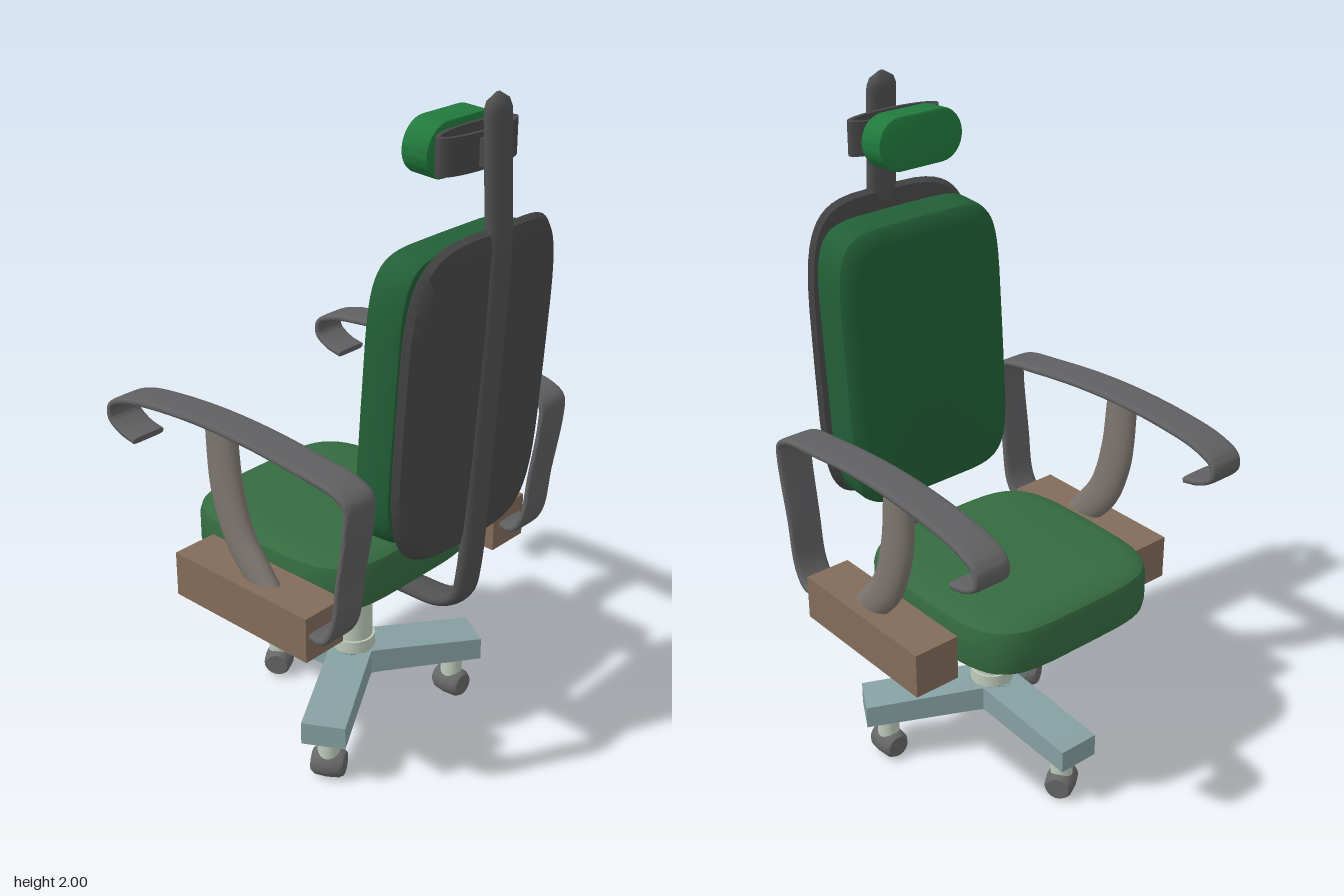
import * as THREE from 'three';
import { toCreasedNormals } from 'three/addons/utils/BufferGeometryUtils.js';

const mat = (color) => new THREE.MeshStandardMaterial({ color });
const seatGreen = mat(0x356b40), backGreen = mat(0x225f36), headGreen = mat(0x217a3d);
const darkGrey = mat(0x484848), postGrey = mat(0x505050), armGrey = mat(0x606062);
const supportGrey = mat(0x7d7670), brown = mat(0x826c5a), legBlue = mat(0x86a0a2);
const columnPale = mat(0xbfccbd), wheelGrey = mat(0x666666);

const V = (x, y, z) => new THREE.Vector3(x, y, z);

function add(parent, name, geometry, material, x = 0, y = 0, z = 0) {
  const mesh = new THREE.Mesh(geometry, material);
  mesh.name = name;
  mesh.position.set(x, y, z);
  parent.add(mesh);
  return mesh;
}

// Closed skin over a list of equal-length rings, capped at both ends
function loft(rings, crease = 0.6) {
  const n = rings[0].length, tris = [];
  for (let i = 0; i < rings.length - 1; i++) {
    for (let j = 0; j < n; j++) {
      const k = (j + 1) % n, a = rings[i], b = rings[i + 1];
      tris.push([a[j], a[k], b[k]], [a[j], b[k], b[j]]);
    }
  }
  const cap = (ring, flip) => {
    const c = ring.reduce((s, p) => s.add(p), V(0, 0, 0)).divideScalar(n);
    ring.forEach((p, j) => {
      const q = ring[(j + 1) % n];
      tris.push(flip ? [c, q, p] : [c, p, q]);
    });
  };
  cap(rings[0], true);
  cap(rings[rings.length - 1], false);
  // Signed volume decides which way the faces must turn
  const volume = tris.reduce((s, [a, b, c]) => s + a.dot(b.clone().cross(c)), 0);
  const points = tris.flatMap(([a, b, c]) => (volume < 0 ? [a, c, b] : [a, b, c]));
  return toCreasedNormals(new THREE.BufferGeometry().setFromPoints(points), crease);
}

// Superellipse point for angle t
function superPoint(t, a, b, power) {
  const f = (v) => Math.sign(v) * Math.pow(Math.abs(v), 2 / power);
  return [a * f(Math.cos(t)), b * f(Math.sin(t))];
}

// Rounded-rectangle pad from [inset, depth] layers; place maps (u, v, depth) to space
function pad(a, b, power, layers, place, n = 56) {
  return loft(layers.map(([inset, d]) => Array.from({ length: n }, (_, j) => {
    const [u, v] = superPoint((j / n) * Math.PI * 2, a - inset, b - inset, power);
    return place(u, v, d);
  })));
}

// Flattened bar swept along [x, y, z, halfWidth, halfThickness] stations
function sweep(stations, { power = 2, round = false, steps = 60, n = 20 } = {}) {
  const path = new THREE.CatmullRomCurve3(stations.map((s) => V(s[0], s[1], s[2])), false, 'centripetal');
  const rings = [];
  for (let i = 0; i <= steps; i++) {
    const t = i / steps, f = t * (stations.length - 1);
    const k = Math.min(Math.floor(f), stations.length - 2);
    const mix = (c) => THREE.MathUtils.lerp(stations[k][c], stations[k + 1][c], f - k);
    const p = path.getPoint(t), d = path.getTangent(t);
    const normal = V(0, d.z, -d.y).normalize();
    // Dome the far end
    const left = path.getPoint(1).distanceTo(p);
    const s = round && left < 0.045 ? Math.sqrt(Math.max(0.02, 1 - (1 - left / 0.045) ** 2)) : 1;
    rings.push(Array.from({ length: n }, (_, j) => {
      const [u, v] = superPoint((j / n) * Math.PI * 2, mix(3) * s, mix(4) * s, power);
      return p.clone().addScaledVector(normal, v).add(V(u, 0, 0));
    }));
  }
  return loft(rings, 0.8);
}

function buildBase() {
  const base = new THREE.Group();
  base.name = 'base';
  // Three sloping legs at 120 degrees, each with a swivelling caster
  const yaws = [0.35, 0.5, -1.0];
  [Math.PI / 6, Math.PI * 5 / 6, Math.PI * 3 / 2].forEach((angle, i) => {
    const leg = new THREE.Group();
    leg.name = 'legWithCaster';
    leg.rotation.y = -angle;
    base.add(leg);
    const section = ([r, low, high]) => [[-1, low], [1, low], [1, high], [-1, high]]
      .map(([side, y]) => V(r, y, side * 0.064));
    add(leg, 'leg', loft([[-0.03, 0.17, 0.25], [0.06, 0.17, 0.247], [0.39, 0.15, 0.22]].map(section), 0.1), legBlue);
    add(leg, 'casterStem', new THREE.CylinderGeometry(0.033, 0.033, 0.1, 20), columnPale, 0.32, 0.115);
    const profile = [[0, -0.048], [0.034, -0.048], [0.042, -0.036], [0.045, 0], [0.042, 0.036], [0.034, 0.048], [0, 0.048]];
    const wheel = new THREE.LatheGeometry(profile.map(([r, y]) => new THREE.Vector2(r, y)), 24);
    wheel.rotateX(Math.PI / 2);
    const caster = add(leg, 'caster', toCreasedNormals(wheel, 0.6), wheelGrey, 0.32, 0.046);
    caster.rotation.y = angle + (i === 0 ? 0 : yaws[i]);
  });
  add(base, 'columnFoot', new THREE.CylinderGeometry(0.055, 0.055, 0.1, 28), columnPale, 0, 0.207);
  add(base, 'columnCollar', new THREE.CylinderGeometry(0.065, 0.065, 0.06, 28), columnPale, 0, 0.257);
  add(base, 'column', new THREE.CylinderGeometry(0.058, 0.058, 0.34, 28), columnPale, 0, 0.42);
  return base;
}

function buildArm(side) {
  const arm = new THREE.Group();
  arm.name = side > 0 ? 'leftArm' : 'rightArm';
  add(arm, 'armBracket', new THREE.BoxGeometry(0.141, 0.135, 0.507), brown, side * 0.398, 0.598, 0.009);
  // Flat band: up from the bracket, forward along the rest and curled under at the tip
  const band = [
    [0.61, 0.24], [0.603, 0.3], [0.65, 0.338], [0.8, 0.362], [0.98, 0.39], [1.035, 0.388], [1.06, 0.35],
    [1.08, 0.22], [1.098, 0.05], [1.104, -0.12], [1.095, -0.3], [1.075, -0.43], [1.045, -0.49],
    [1.005, -0.493], [0.975, -0.45], [0.962, -0.395],
  ].map(([y, z]) => [side * (0.411 - 0.018 * z), y, z, y < 0.9 && z > 0 ? 0.052 : 0.055, 0.01]);
  add(arm, 'armrestBand', sweep(band, { power: 5, steps: 90, n: 24 }), armGrey);
  // Curved upright between bracket and band
  const upright = [[0.62, 0.07, 0.05], [0.675, 0.025, 0.05], [0.765, -0.045, 0.055], [0.9, -0.09, 0.058], [1.095, -0.107, 0.053]]
    .map(([y, z, depth]) => [side * 0.405, y, z, 0.032, depth]);
  add(arm, 'armSupport', sweep(upright, { steps: 24 }), supportGrey);
  return arm;
}

function buildHeadrest() {
  const head = new THREE.Group();
  head.name = 'headrest';
  // Stadium-shaped pad, leaning slightly
  const shape = new THREE.Shape();
  shape.absarc(0.067, 0, 0.067, -Math.PI / 2, Math.PI / 2);
  shape.absarc(-0.067, 0, 0.067, Math.PI / 2, Math.PI * 1.5);
  const padGeo = new THREE.ExtrudeGeometry(shape, {
    depth: 0.07, bevelEnabled: true, bevelSize: 0.007, bevelThickness: 0.007, bevelSegments: 2, curveSegments: 16,
  });
  const cushion = add(head, 'headPad', toCreasedNormals(padGeo, 0.6), headGreen, 0.014, 1.853, 0.278);
  cushion.rotation.x = 0.06;
  // Open oval band joining the pad to the post
  const oval = new THREE.Shape().absellipse(0, 0, 0.152, 0.042, 0, Math.PI * 2);
  oval.holes.push(new THREE.Path().absellipse(0, 0, 0.135, 0.03, 0, Math.PI * 2));
  const ring = new THREE.ExtrudeGeometry(oval, { depth: 0.095, bevelEnabled: false, curveSegments: 28 });
  ring.rotateX(-Math.PI / 2);
  add(head, 'headrestBand', toCreasedNormals(ring, 0.6), darkGrey, 0.012, 1.808, 0.397);
  add(head, 'headrestJoint', new THREE.BoxGeometry(0.06, 0.07, 0.04), darkGrey, 0, 1.855, 0.445);
  return head;
}

export function createModel() {
  const chair = new THREE.Group();
  chair.name = 'deskChair';
  chair.add(buildBase(), buildArm(1), buildArm(-1), buildHeadrest());

  // Seat cushion with softened rims and a faint crown
  const seatLayers = [[0.05, 0.555], [0.02, 0.56], [0.004, 0.575], [0, 0.6], [0, 0.68], [0.006, 0.703], [0.025, 0.719], [0.06, 0.725], [0.2, 0.729]];
  add(chair, 'seat', pad(0.327, 0.328, 4.6, seatLayers, (u, v, d) => V(u * (1 - 0.05 * (v / 0.33) ** 2), d, v - 0.077)), seatGreen);

  // Leaning back cushion
  const backLayers = [[0.05, -0.066], [0.02, -0.063], [0.004, -0.05], [0, -0.03], [0, 0.04], [0.008, 0.058], [0.03, 0.063]];
  add(chair, 'backCushion', pad(0.287, 0.412, 6, backLayers,
    (u, v, d) => V(u, 1.218 + v + 0.07 * d, 0.335 + 0.073 * v + d)), backGreen);

  // Thin bowed shell behind the cushion
  const shellLayers = [[0.05, -0.018], [0.012, -0.014], [0, 0], [0.012, 0.014], [0.05, 0.02], [0.15, 0.022], [0.25, 0.024]];
  add(chair, 'backShell', pad(0.3, 0.452, 4.4, shellLayers,
    (u, v, d) => V(u * (1 - 0.02 * v), 1.222 + v, 0.45 + 0.066 * v + d - 0.35 * u * u)), darkGrey);

  // Single post running from under the seat up to the headrest
  const post = [[0.553, 0.08], [0.55, 0.24], [0.56, 0.35], [0.6, 0.408], [0.68, 0.428], [0.95, 0.447], [1.3, 0.468], [1.6, 0.483], [1.75, 0.477], [2.0, 0.463]]
    .map(([y, z]) => [0, y, z, 0.048, 0.023]);
  add(chair, 'backPost', sweep(post, { round: true, steps: 120 }), postGrey);
  return chair;
}
